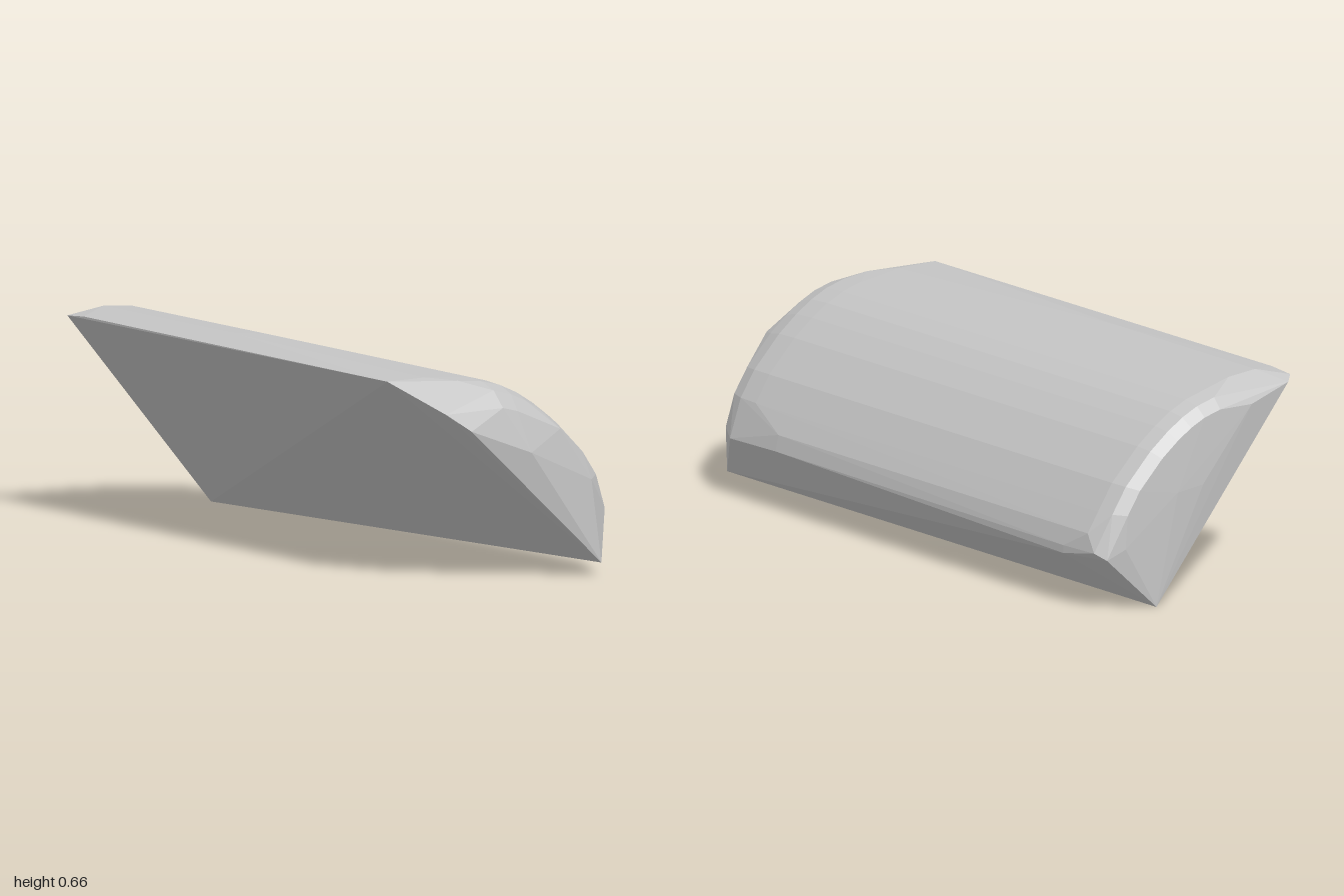
import * as THREE from 'three';
import { ConvexGeometry } from 'three/addons/geometries/ConvexGeometry.js';

// Curved outer arc in the x/y plane, from the upper left edge round to the lower right
const arc = [
  [-0.08, 0.625], [-0.01, 0.607], [0.05, 0.58], [0.11, 0.543], [0.18, 0.49],
  [0.28, 0.39], [0.335, 0.308],
];
const centre = [-0.05, 0.27];

// The arc pulled towards the centre by a factor, placed at depth z
function ring(scale, z) {
  return arc.map(([x, y]) => new THREE.Vector3(
    centre[0] + (x - centre[0]) * scale,
    centre[1] + (y - centre[1]) * scale,
    z
  ));
}

const points = (list) => list.map((p) => new THREE.Vector3(...p));

export function createModel() {
  const group = new THREE.Group();
  group.name = 'splitLog';

  const grey = new THREE.MeshStandardMaterial({ color: 0xc4c4c4, flatShading: true });
  grey.name = 'plainGrey';

  const hull = [
    // rounded shoulder at the front, body, and tighter shoulder at the back
    ...ring(0.78, 0.965), ...ring(0.92, 0.92), ...ring(0.98, 0.86), ...ring(0.995, 0.78),
    ...ring(1, -0.9), ...ring(0.97, -0.955), ...ring(0.88, -0.988),
    // upper left edge and crown, which rises towards the back
    ...points([
      [-0.392, 0.635, 0.8], [-0.17, 0.627, 0.86], [-0.25, 0.637, 0.8],
      [-0.285, 0.659, -0.2], [-0.285, 0.659, -0.9], [-0.18, 0.651, -0.15],
      [-0.18, 0.651, -0.9], [-0.392, 0.64, -0.85], [-0.392, 0.633, -0.94],
      [-0.36, 0.62, -0.97], [-0.2, 0.58, -0.99],
    ]),
    // lower right edge
    ...points([
      [0.37, 0.185, 0.86], [0.384, 0.195, 0.62], [0.392, 0.165, -0.8],
      [0.392, 0.19, -0.8], [0.376, 0.245, -0.9], [0.372, 0.245, 0.62],
      [0.383, 0.19, -0.94], [0.36, 0.17, -0.975], [0.3, 0.2, -0.992],
    ]),
    // front cap
    ...points([
      [0.01, 0.405, 1], [-0.2, 0.485, 0.98], [-0.275, 0.54, 0.95],
      [0.14, 0.465, 0.965], [0.25, 0.3, 0.975], [0.28, 0.04, 0.985], [0.33, 0.2, 0.93],
    ]),
    // back cap and flat split side
    ...points([[0.185, 0, -1], [0, 0.36, -1], [0.1, 0.35, -1]]),
  ];

  const log = new THREE.Mesh(new ConvexGeometry(hull), grey);
  log.name = 'halfLog';
  group.add(log);
  return group;
}
